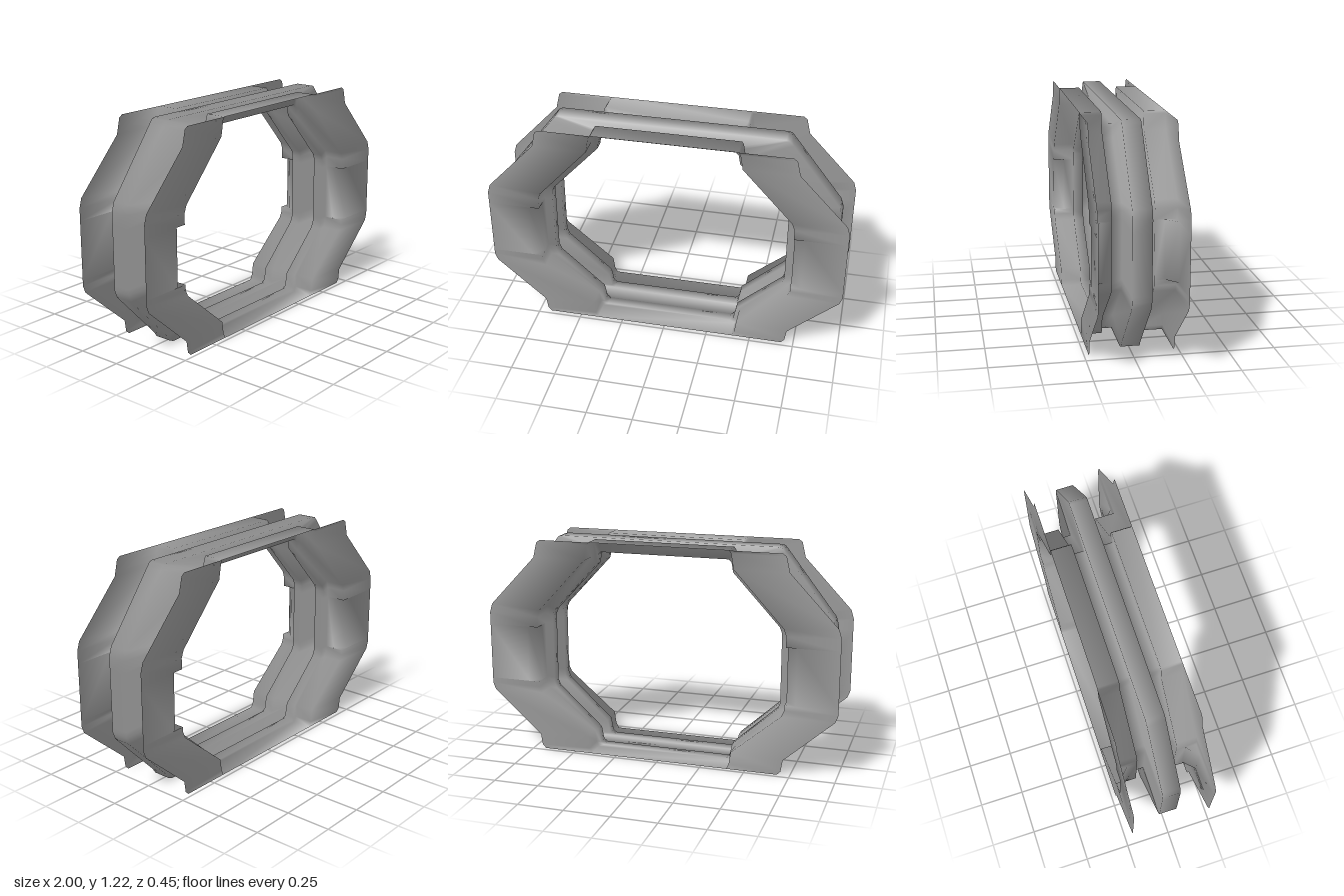
import * as THREE from 'three';
import { toCreasedNormals } from 'three/addons/utils/BufferGeometryUtils.js';

// Right-half outlines [x, y], top to bottom; doubled points at .72 and .40 hold the side notch
const flangeEdge = [[.68, 1.22], [.70, 1.205], [.72, 1.12], [.985, .84], [1, .79], [1, .72], [1, .72],
  [1, .40], [1, .40], [1, .37], [.985, .33], [.71, .085], [.70, .02], [.68, 0]];
const wall = [[.395, 1.22], [.405, 1.205], [.42, 1.12], [.695, .82], [.71, .78], [.71, .72], [.71, .72],
  [.71, .40], [.71, .40], [.71, .37], [.695, .335], [.42, .10], [.41, .03], [.395, 0]];
const groove = [[.365, 1.15], [.38, 1.135], [.39, 1.08], [.65, .80], [.665, .765], [.665, .72], [.665, .72],
  [.665, .40], [.665, .40], [.665, .37], [.65, .335], [.40, .105], [.385, .03], [.365, .015]];
const ridge = [[.62, 1.22], [.64, 1.215], [.66, 1.19], [.93, .84], [.945, .79], [.945, .72], [.945, .72],
  [.945, .40], [.945, .40], [.945, .37], [.93, .33], [.665, .05], [.645, .02], [.62, .01]];

// Notch bevel: its lip is set outwards, its foot (third value) is set deeper along z
const inNotch = (i) => i === 6 || i === 7;
const notchLip = wall.map(([x, y], i) => [inNotch(i) ? .77 : x, y]);
const notchFoot = wall.map(([x, y], i) => [x, y, inNotch(i) ? .06 : 0]);

// Sections from the front flange edge to the middle, then mirrored to the back
const frontHalf = [[flangeEdge, .225], [notchLip, .225], [notchFoot, .225], [wall, .11],
  [groove, .11], [groove, .05], [ridge, .05]];
const sections = [...frontHalf, ...frontHalf.map(([half, z]) => [half, -z]).reverse()];

// Parts as runs of sections
const parts = [['frontFlange', 0, 4], ['frontGroove', 4, 5], ['centreRidge', 5, 8],
  ['backGroove', 8, 9], ['backFlange', 9, 13]];

// Closed ring from a half outline mirrored across x
function ring([half, z]) {
  const right = half.map(([x, y, depth = 0]) => new THREE.Vector3(x, y, z - Math.sign(z) * depth));
  const left = right.map((p) => new THREE.Vector3(-p.x, p.y, p.z)).reverse();
  return [...right, ...left];
}

// Skin one sheet through all sections; starts[i] is the first vertex of band i
function skin() {
  const rings = sections.map(ring);
  const pos = [], starts = [];
  const tri = (a, b, c) => {
    const area = b.clone().sub(a).cross(c.clone().sub(a)).length();
    if (area > 1e-8) pos.push(...a.toArray(), ...b.toArray(), ...c.toArray());
  };
  for (let i = 0; i < rings.length - 1; i++) {
    starts.push(pos.length / 3);
    const p = rings[i], q = rings[i + 1], n = p.length;
    for (let j = 0; j < n; j++) {
      const k = (j + 1) % n;
      tri(p[j], p[k], q[j]);
      tri(p[k], q[k], q[j]);
    }
  }
  starts.push(pos.length / 3);
  const geo = new THREE.BufferGeometry();
  geo.setAttribute('position', new THREE.Float32BufferAttribute(pos, 3));
  return { sheet: toCreasedNormals(geo, Math.PI), starts };
}

export function createModel() {
  const group = new THREE.Group();
  group.name = 'octagonalFrame';
  const material = new THREE.MeshStandardMaterial({ color: 0x999999, side: THREE.DoubleSide });
  const { sheet, starts } = skin();

  // Cut the smooth sheet into its parts, so shading runs on across the seams
  for (const [name, from, to] of parts) {
    const geo = new THREE.BufferGeometry();
    for (const key of ['position', 'normal']) {
      const values = sheet.getAttribute(key).array.slice(starts[from] * 3, starts[to] * 3);
      geo.setAttribute(key, new THREE.BufferAttribute(values, 3));
    }
    const mesh = new THREE.Mesh(geo, material);
    mesh.name = name;
    group.add(mesh);
  }
  return group;
}
